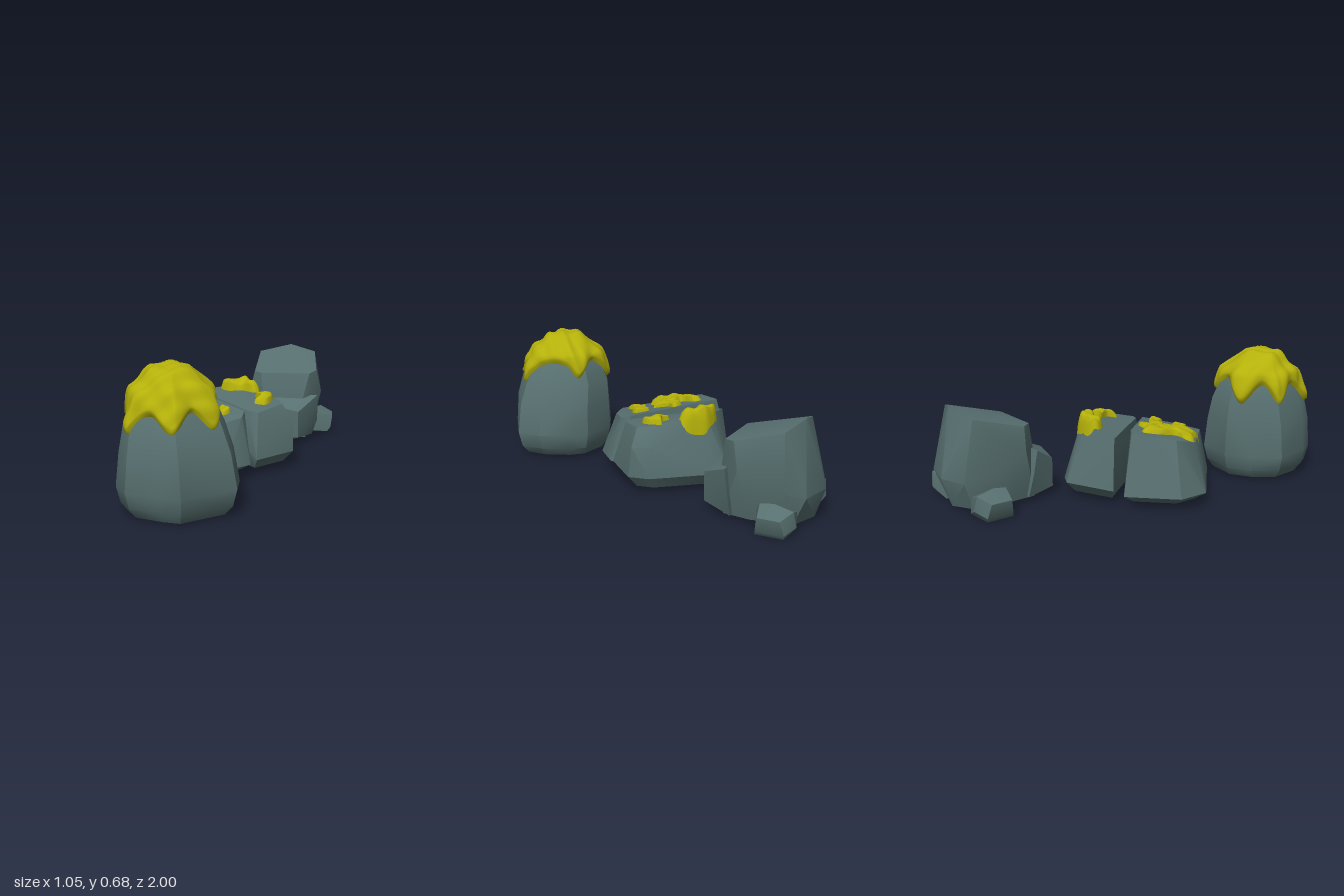
import * as THREE from 'three';
import { toCreasedNormals } from 'three/addons/utils/BufferGeometryUtils.js';
import { ConvexGeometry } from 'three/addons/geometries/ConvexGeometry.js';

const V = (x, y, z) => new THREE.Vector3(x, y, z);

export function createModel() {
  const stone = new THREE.MeshStandardMaterial({ color: 0x587070 });
  stone.name = 'stone';
  const moss = new THREE.MeshStandardMaterial({ color: 0xb4b00a, side: THREE.DoubleSide });
  moss.name = 'moss';
  const model = new THREE.Group();
  model.name = 'mossyRocks';

  const add = (name, geometry, material) => {
    const mesh = new THREE.Mesh(geometry, material);
    mesh.name = name;
    model.add(mesh);
    return mesh;
  };

  // Faceted boulder: hull of a few corners with soft edges
  const rock = (name, points, crease = 0.55) =>
    add(name, toCreasedNormals(new ConvexGeometry(points.map(p => V(...p))), crease), stone);

  // Horizontal ring of corners from a footprint, scaled about its own centre and moved
  const ring = (foot, y, cx, cz, sx = 1, sz = sx, dx = 0, dz = 0) =>
    foot.map(([x, z]) => [cx + dx + (x - cx) * sx, y, cz + dz + (z - cz) * sz]);

  // Lumpy skin draped over a rock; place(u, s) gives a ray origin, direction and outward axis
  const raycaster = new THREE.Raycaster();
  const drape = (name, target, rows, cols, height, place) => {
    const pos = [], index = [];
    for (let r = 0; r <= rows; r++) {
      const s = r / rows;
      for (let c = 0; c < cols; c++) {
        const { origin, dir } = place(c / cols, s);
        raycaster.set(origin, dir);
        const hit = raycaster.intersectObject(target)[0];
        const p = hit ? hit.point.clone() : origin.clone().addScaledVector(dir, 0.7);
        const lump = 1 + 0.3 * Math.sin(p.x * 47 + p.z * 21) * Math.sin(p.z * 43 - p.y * 30);
        const lift = height * lump * Math.sqrt(Math.max(0, 1 - s ** 6)) - (r === rows ? 0.008 : 0);
        p.addScaledVector(dir, -lift);
        pos.push(p.x, p.y, p.z);
        if (r < rows) {
          const a = r * cols + c, b = r * cols + (c + 1) % cols;
          index.push(a, a + cols, b, b, a + cols, b + cols);
        }
      }
    }
    const g = new THREE.BufferGeometry();
    g.setAttribute('position', new THREE.Float32BufferAttribute(pos, 3));
    g.setIndex(index);
    g.computeVertexNormals();
    return add(name, g, moss);
  };
  const loop = points => new THREE.CatmullRomCurve3(points, true, 'centripetal');

  // Tall front boulder
  const tallFoot = [[-.27, .43], [-.07, .46], [0, .53], [.07, .69], [.07, .83], [-.16, 1],
    [-.26, .98], [-.42, .92], [-.48, .82], [-.5, .63], [-.4, .5]];
  const tall = rock('tallRock', [
    [.015, .8, .82, 0, 0], [.06, .93, .93, 0, 0], [.14, 1, 1, 0, 0], [.3, .92, .97, -.005, 0],
    [.42, .81, .9, -.015, -.01], [.55, .62, .66, -.02, -.02], [.64, .28, .28, -.025, -.01]
  ].flatMap(([y, sx, sz, dx, dz]) => ring(tallFoot, y, -.215, .715, sx, sz, dx, dz)));

  // Dripping moss cap, edge alternating between drips and gaps
  const centre = V(-.235, .38, .7);
  const capEdge = loop([
    [-.41, .39, .89], [-.37, .46, .9], [-.3, .48, .9], [-.2, .41, .96], [-.12, .5, .88],
    [-.02, .41, .85], [0, .54, .74], [-.05, .54, .58], [-.07, .46, .5], [-.2, .54, .5],
    [-.33, .42, .48], [-.4, .53, .57], [-.48, .42, .63], [-.44, .52, .75]
  ].map(p => V(...p).sub(centre).normalize()));
  drape('mossCap', tall, 20, 112, .036, (u, s) => {
    const edge = capEdge.getPoint(u).normalize();
    const turn = new THREE.Quaternion().setFromUnitVectors(V(0, 1, 0), edge);
    const out = V(0, 1, 0).applyQuaternion(new THREE.Quaternion().slerp(turn, Math.max(s, .001)));
    return { origin: centre.clone().addScaledVector(out, 1.5), dir: out.negate() };
  });

  // Low split boulder, two halves with a crack between
  const leftFoot = [[-.33, -.29], [-.27, -.23], [.08, .14], [.09, .22], [-.04, .35],
    [-.22, .35], [-.53, .07], [-.53, -.09]];
  const leftHalf = rock('splitRockLeft', [
    ...ring(leftFoot, .025, -.22, .04, .75), ...ring(leftFoot, .075, -.22, .04),
    [-.3, .38, -.22], [-.24, .375, -.18], [.05, .33, .12], [.04, .31, .18],
    [-.08, .29, .28], [-.2, .285, .31], [-.43, .31, .08], [-.45, .35, -.06]
  ]);
  const rightFoot = [[-.27, -.31], [-.02, -.42], [.06, -.38], [.28, -.11], [.3, 0], [.12, .19], [.08, .14]];
  const rightHalf = rock('splitRockRight', [
    ...ring(rightFoot, .03, .05, -.12, .8), ...ring(rightFoot, .09, .05, -.12),
    [.3, .25, -.02], [.27, .25, -.11], [-.24, .35, -.28], [-.04, .38, -.31], [.02, .38, -.3],
    [.22, .345, -.08], [.24, .34, -.02], [.12, .32, .11], [.07, .325, .09]
  ]);

  // Moss patches on the split boulder: target, height, centre, outline in x and z
  [
    [leftHalf, .032, [-.3, .06], [[-.29, -.14], [-.25, -.12], [-.26, -.03], [-.2, -.01], [-.2, .1],
      [-.23, .15], [-.28, .16], [-.33, .2], [-.37, .12], [-.44, .07], [-.41, .03], [-.35, .02], [-.33, -.07]]],
    [leftHalf, .026, [-.17, .02], [[-.2, -.06], [-.13, -.05], [-.15, 0], [-.13, .08], [-.17, .06], [-.21, .07]]],
    [leftHalf, .022, [-.165, .2], [[-.17, .14], [-.13, .19], [-.16, .25], [-.2, .2]]],
    [leftHalf, .022, [-.055, .12], [[-.07, .07], [-.02, .13], [-.06, .17], [-.085, .11]]],
    [rightHalf, .045, [0, -.27], [[-.11, -.28], [-.08, -.32], [.03, -.32], [.08, -.28], [.12, -.22],
      [.09, -.18], [.02, -.21], [-.06, -.22]]],
    [rightHalf, .032, [.14, -.07], [[.09, -.13], [.13, -.11], [.18, -.13], [.185, -.06], [.15, 0], [.09, -.02], [.12, -.06]]]
  ].forEach(([target, height, [cx, cz], outline], i) => {
    const edge = loop(outline.map(([x, z]) => V(x, 1, z)).reverse());
    drape(`mossPatch${i + 1}`, target, 8, 48, height, (u, s) => ({
      origin: V(cx, 1, cz).lerp(edge.getPoint(u), s), dir: V(0, -1, 0)
    }));
  });

  // Back boulder with sloping top
  rock('backRock', [
    [.1, .4, -.56], [.38, .4, -.56], [.42, .41, -.62], [.06, .4, -.61],
    [.08, .475, -.88], [.41, .48, -.86], [.265, .515, -.91],
    [.45, .28, -.65], [.03, .28, -.62], [.02, .2, -.8], [.44, .2, -.88],
    [.37, .17, -.96], [.2, .17, -1], [.06, .17, -.95], [.12, .2, -.52], [.33, .2, -.52],
    [.08, .02, -.55], [.36, .02, -.55], [.4, .03, -.7], [.37, .03, -.9],
    [.2, .02, -.95], [.07, .03, -.9], [.05, .03, -.7]
  ]);

  // Low foot in front of the back boulder
  rock('backRockFoot', [
    [.08, .05, -.44], [.08, .2, -.44], [.22, .225, -.42], [.32, .2, -.43], [.32, .05, -.43],
    [.04, .27, -.55], [.43, .27, -.58], [.03, .15, -.58], [.43, .12, -.6],
    [.05, .03, -.6], [.4, .03, -.6], [.1, .03, -.48], [.3, .03, -.47]
  ]);

  // Pebbles on both sides of the back boulder
  for (const side of [1, -1]) {
    rock(side > 0 ? 'pebbleLeft' : 'pebbleRight', [
      [.13, .005, -.75], [.28, .005, -.76], [.28, .005, -.9], [.13, .005, -.91],
      [.15, .02, -.73], [.3, .03, -.77], [.31, .1, -.78], [.31, .1, -.89], [.3, .03, -.91],
      [.17, .115, -.73], [.22, .135, -.76], [.22, .145, -.83], [.24, .13, -.93],
      [.16, .1, -.92], [.22, .05, -.94], [.13, .1, -.8]
    ].map(([x, y, z]) => [.213 + side * x, y, z]));
  }

  return model;
}
